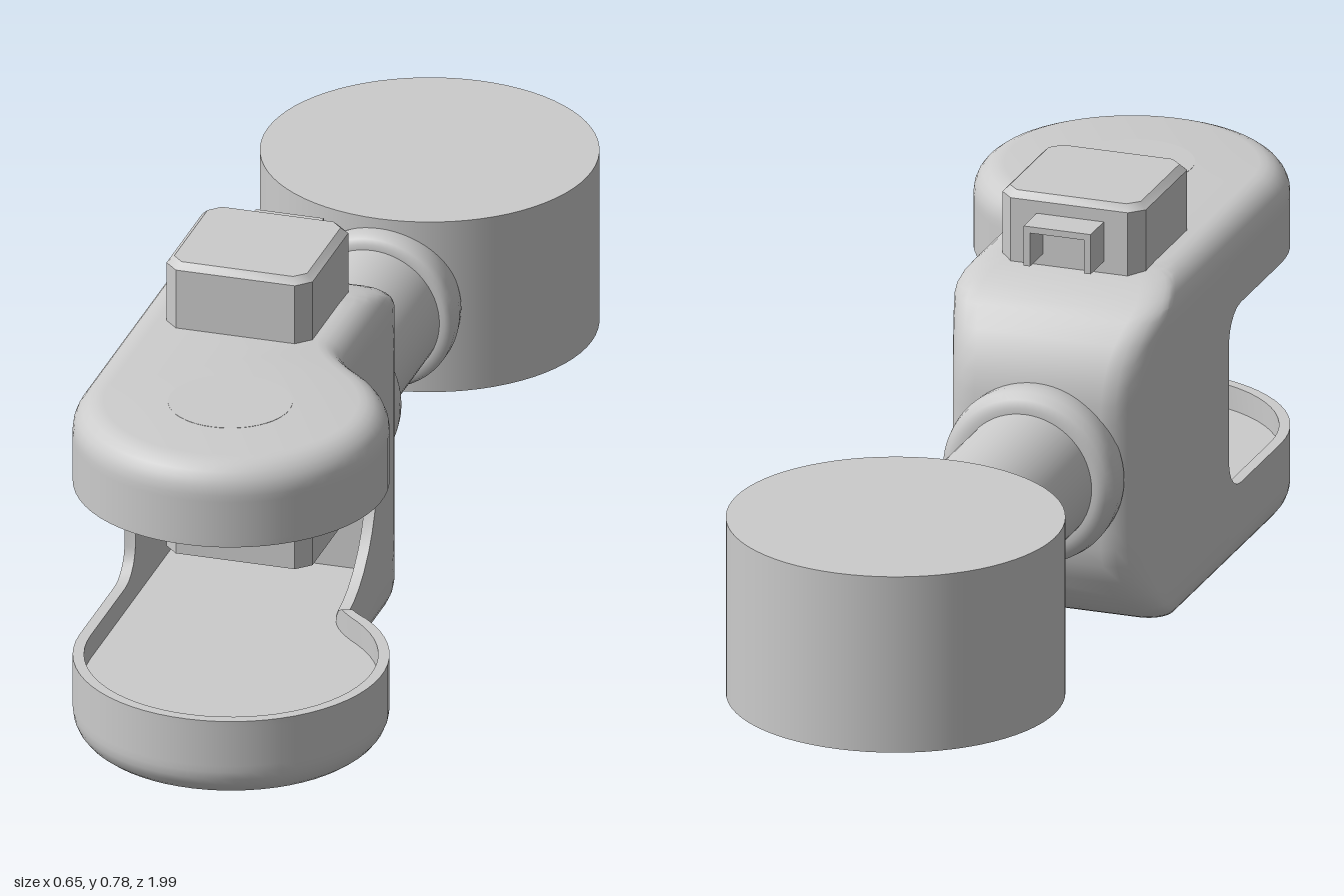
import * as THREE from 'three';
import { toCreasedNormals } from 'three/addons/utils/BufferGeometryUtils.js';

const CX = -0.03;      // axis of the arm
const MID = 0.325;     // mid height of the fork and arm
const SPLIT = 0.25;    // z where the rounded back of the fork ends
const FILLET = 0.055;
const material = new THREE.MeshStandardMaterial({ color: 0xcccccc, side: THREE.DoubleSide });

function add(group, name, geometry, x = 0, y = 0, z = 0) {
  const mesh = new THREE.Mesh(geometry, material);
  mesh.name = name;
  mesh.position.set(x, y, z);
  group.add(mesh);
  return mesh;
}

// Skin a list of equal-length rings of [x, y, z]; close both ends around (cx, cz)
function loft(rings, cx, cz, flip = false) {
  const n = rings[0].length, pos = rings.flat(2), index = [];
  const tri = (a, b, c) => (flip ? index.push(a, c, b) : index.push(a, b, c));
  for (let k = 0; k < rings.length - 1; k++) {
    for (let j = 0; j < n; j++) {
      const a = k * n + j, b = k * n + (j + 1) % n;
      tri(a, b + n, b);
      tri(a, a + n, b + n);
    }
  }
  const last = (rings.length - 1) * n, c0 = rings.length * n;
  pos.push(cx, rings[0][0][1], cz, cx, rings[rings.length - 1][0][1], cz);
  for (let j = 0; j < n; j++) {
    tri(c0, j, (j + 1) % n);
    tri(c0 + 1, last + (j + 1) % n, last + j);
  }
  const g = new THREE.BufferGeometry();
  g.setAttribute('position', new THREE.Float32BufferAttribute(pos, 3));
  g.setIndex(index);
  return toCreasedNormals(g, 0.6);
}

const round = (d, r) => (d >= r ? 0 : r - Math.sqrt(Math.max(0, r * r - (r - d) ** 2)));

// z of the rounded back of the fork at height y
function backZ(y) {
  const u = Math.max(0, Math.abs(y - MID) - 0.12) / 0.205;
  return SPLIT - 0.23 * Math.sqrt(Math.max(0, 1 - u * u));
}

// Plan outline of the fork as [x, z]: right wall, round front, left wall
function outline(inset, zb, backFillet) {
  const pts = [];
  const side = (s, z) => {
    const taper = 0.04 * THREE.MathUtils.smoothstep(0.17 - z, 0, 0.17);
    const cut = inset + taper + round(z - zb, backFillet);
    pts.push([s > 0 ? 0.17 - cut : -0.235 + cut, z]);
  };
  const back = [];
  for (let m = 0; m < 9; m++) back.push(zb + (SPLIT - zb) * (m / 9) ** 1.6);
  [...back, 0.25, 0.252, 0.256, 0.265, 0.28, 0.3, 0.33, 0.36, 0.39].forEach((z) => side(1, z));
  // hollow blend from the straight wall into the round front
  const R = 0.28 - inset, a0 = -0.85;
  const end = [0.045 + R * Math.cos(a0), 0.715 + R * Math.sin(a0)];
  const x0 = 0.17 - inset;
  for (let i = 0; i < 8; i++) {
    const t = i / 8, u = 1 - t;
    pts.push([u * u * x0 + 2 * u * t * x0 + t * t * end[0],
      u * u * 0.42 + 2 * u * t * 0.465 + t * t * end[1]]);
  }
  for (let i = 0; i <= 40; i++) {
    const a = a0 + (Math.PI - a0) * i / 40;
    pts.push([0.045 + R * Math.cos(a), 0.715 + R * Math.sin(a)]);
  }
  [0.65, 0.58, 0.51, 0.49, 0.475, 0.462, 0.455, 0.4505, 0.4495, 0.4, 0.35, 0.3, 0.28, 0.265, 0.25,
    ...back.reverse()].forEach((z) => side(-1, z));
  return pts;
}

// Height of the lower edge of the fork opening at a point of the outline
function rimHeight([x, z]) {
  const arc = (u) => Math.sqrt(Math.max(0, 1 - (1 - u) ** 2));
  if (z <= SPLIT) return MID;
  if (x > 0) {
    if (z < 0.44) return MID - 0.205 * arc((z - SPLIT) / 0.19);
    return 0.12 + 0.035 * THREE.MathUtils.smoothstep(z, 0.44, 0.475);
  }
  if (z < 0.45) return MID;
  return z < 0.51 ? 0.215 - 0.06 * arc((z - 0.45) / 0.06) : 0.155;
}

// Half of the hollow fork; the upper half is its mirror image
function forkHalf(upper) {
  const rims = outline(0, 0.02, 0).map(rimHeight);
  const place = (x, y, z) => [x, upper ? 2 * MID - y : y, z];
  const rings = [];
  const outer = (heightAt) => rings.push(rims.map((rim, j) => {
    const y = heightAt(rim);
    const [x, z] = outline(round(y, FILLET), backZ(y), 0.045)[j];
    return place(x, y, z);
  }));
  for (let i = 0; i <= 6; i++) {
    outer(() => FILLET * (1 - Math.cos(i / 6 * Math.PI / 2)));
  }
  for (let i = 1; i <= 8; i++) outer((rim) => FILLET + (rim - FILLET) * i / 8);
  const inner = outline(0.02, 0.22, 0);
  rings.push(inner.map(([x, z], j) => place(x, rims[j], z)));
  rings.push(inner.map(([x, z]) => place(x, 0.11, z)));
  return loft(rings, 0, 0.55, upper);
}

// Octagon ring of a box with cut corners
function cutRect(x0, x1, z0, z1, c, y) {
  return [[x1, z0 + c], [x1, z1 - c], [x1 - c, z1], [x0 + c, z1],
    [x0, z1 - c], [x0, z0 + c], [x0 + c, z0], [x1 - c, z0]].map(([x, z]) => [x, y, z]);
}

export function createModel() {
  const model = new THREE.Group();
  model.name = 'armLink';

  // Hollow fork
  const fork = new THREE.Group();
  fork.name = 'fork';
  model.add(fork);
  add(fork, 'lowerFork', forkHalf(false));
  add(fork, 'upperFork', forkHalf(true));
  for (const [name, y] of [['lowerPivotCap', 0.0095], ['upperPivotCap', 0.6405]]) {
    add(fork, name, new THREE.CylinderGeometry(0.11, 0.11, 0.02, 48), 0.045, y, 0.72);
  }

  // Arm with rounded collars, turned about the z axis: [radius, z]
  const profile = [[0.12, 0.06], [0.15, 0.05], [0.162, 0.03], [0.164, 0], [0.161, -0.018],
    [0.15, -0.031], [0.135, -0.036], [0.125, -0.036], [0.125, -0.358], [0.135, -0.358],
    [0.144, -0.363], [0.149, -0.375], [0.149, -0.4], [0.143, -0.43], [0.125, -0.46]];
  const lathe = new THREE.LatheGeometry(
    profile.reverse().map(([r, z]) => new THREE.Vector2(r, z)), 64);
  lathe.rotateX(Math.PI / 2);
  add(model, 'arm', toCreasedNormals(lathe, 0.8), CX, MID, 0);

  // Rear joint drum
  add(model, 'jointDrum', new THREE.CylinderGeometry(0.3, 0.3, 0.332, 72), CX, 0.327, -0.7);

  // Motor block standing through the fork
  const block = loft([
    cutRect(-0.163, 0.107, 0.195, 0.457, 0.025, 0.21),
    cutRect(-0.163, 0.107, 0.195, 0.457, 0.025, 0.763),
    cutRect(-0.151, 0.095, 0.207, 0.445, 0.02, 0.775),
  ], -0.028, 0.326);
  add(model, 'motorBlock', block);

  // Connector hood behind the block
  const hood = new THREE.Group();
  hood.name = 'connectorHood';
  hood.position.set(CX, 0, 0.165);
  model.add(hood);
  add(hood, 'hoodTop', new THREE.BoxGeometry(0.126, 0.012, 0.075), 0, 0.734, 0);
  for (const s of [-1, 1]) {
    add(hood, 'hoodSide', new THREE.BoxGeometry(0.012, 0.075, 0.075), s * 0.057, 0.7025, 0);
  }
  return model;
}
